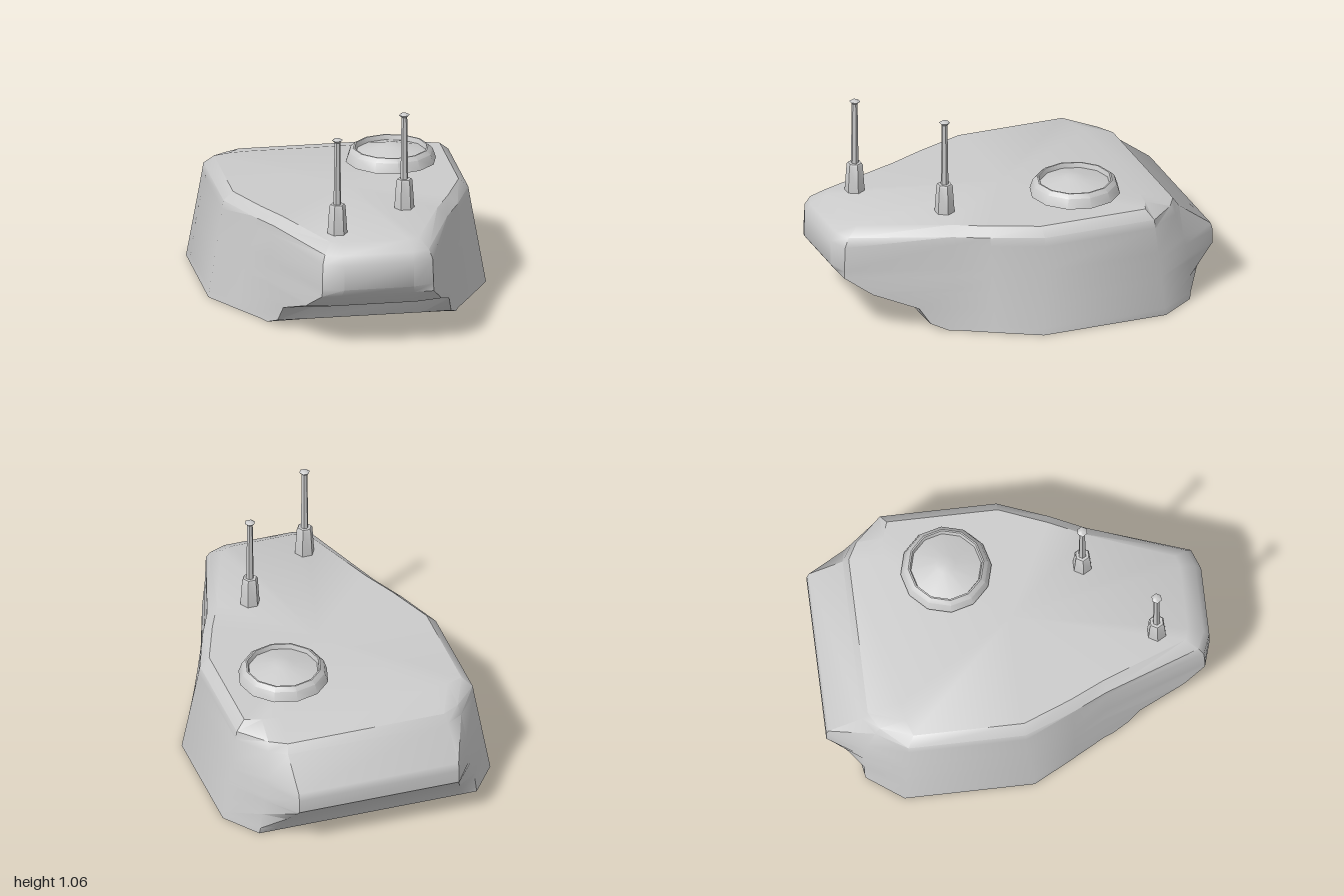
import * as THREE from 'three';
import { toCreasedNormals } from 'three/addons/utils/BufferGeometryUtils.js';

const grey = () => new THREE.MeshStandardMaterial({ color: 0xcccccc, side: THREE.DoubleSide });

function part(name, geometry, crease = 0.6) {
  const mesh = new THREE.Mesh(toCreasedNormals(geometry, crease), grey());
  mesh.name = name;
  return mesh;
}

// Side wall plan points [x, z], front to rear: at the base, the shoulder and the roof edge
const baseSide = [[0.51, 0.42], [0.6, 0.26], [0.72, 0.04], [0.72, -0.63]];
const shoulderSide = [[0.45, 0.44], [0.535, 0.26], [0.635, 0], [0.635, -0.6]];
const roofSide = [[0.4, 0.43], [0.485, 0.25], [0.585, 0], [0.585, -0.57]];

// Level: height, two nose points, two rear points, each [x, z] on the left half
const levels = [
  [0, [0.4, 0.46], [0.49, 0.47], [0.585, -0.815], [0.5, -0.815]],
  [0.035, [0.3, 0.56], [0.45, 0.555], [0.58, -0.82], [0.49, -0.835]],
  [0.12, [0.25, 0.6], [0.43, 0.61], [0.57, -0.82], [0.465, -0.9]],
  [0.2, [0.22, 0.86], [0.35, 0.83], [0.555, -0.82], [0.435, -0.98]],
  [0.22, [0.21, 0.89], [0.34, 0.86], [0.55, -0.82], [0.43, -1]],
  [0.29, [0.19, 0.97], [0.29, 0.965], [0.54, -0.81], [0.43, -1]],
  [0.33, [0.18, 1], [0.288, 0.965], [0.535, -0.8], [0.43, -0.99]],
  [0.46, [0.18, 1], [0.285, 0.96], [0.52, -0.76], [0.43, -0.815]],
  [0.505, [0.18, 0.97], [0.27, 0.935], [0.51, -0.735], [0.42, -0.785]],
  [0.55, [0.17, 0.89], [0.23, 0.87], [0.5, -0.6], [0.4, -0.61]],
];

function sidePoints(y) {
  if (y > 0.54) return roofSide;
  const t = Math.min(1, y / 0.5);
  return baseSide.map(([x, z], i) => [
    x + (shoulderSide[i][0] - x) * t,
    z + (shoulderSide[i][1] - z) * t,
  ]);
}

// Shell: mirrored plan outlines stacked by height, with flat floor and roof
function shellGeometry() {
  const rings = levels.map(([y, n1, n2, r1, r2]) => {
    const half = [n1, n2, ...sidePoints(y), r1, r2];
    const mirrored = half.map(([x, z]) => [-x, z]).reverse();
    return [...half, ...mirrored].map(([x, z]) => [x, y, z]);
  });
  const n = rings[0].length;
  const positions = rings.flat(2);
  const floor = rings.length * n;
  const roof = floor + 1;
  positions.push(0, 0, 0, 0, 0.55, 0);
  const index = [];
  const top = (rings.length - 1) * n;
  for (let i = 0; i < n; i++) {
    const j = (i + 1) % n;
    for (let k = 0; k < rings.length - 1; k++) {
      const a = k * n + i, b = k * n + j;
      index.push(a, b, b + n, a, b + n, a + n);
    }
    index.push(floor, j, i, roof, top + i, top + j);
  }
  const g = new THREE.BufferGeometry();
  g.setAttribute('position', new THREE.Float32BufferAttribute(positions, 3));
  g.setIndex(index);
  return g;
}

function lathe(points, sides) {
  return new THREE.LatheGeometry(points.map(([r, y]) => new THREE.Vector2(r, y)), sides);
}

// Antenna: tapered hexagonal socket, thin rod and small cap
function antenna(x, z) {
  const group = new THREE.Group();
  group.name = 'antenna';
  group.add(
    part('antennaSocket', lathe([[0.052, 0], [0.042, 0.145], [0.036, 0.155], [0, 0.155]], 6)),
    part('antennaRod', lathe([[0.02, 0.15], [0.015, 0.49]], 6)),
    part('antennaCap', lathe([[0, 0.485], [0.015, 0.487], [0.028, 0.5], [0.015, 0.508], [0, 0.51]], 6)),
  );
  group.position.set(x, 0.55, z);
  group.rotation.y = Math.PI / 6;
  return group;
}

export function createModel() {
  const model = new THREE.Group();
  model.name = 'turret';
  model.add(part('turretShell', shellGeometry(), 0.7));

  // Roof hatch: bevelled ring around a shallow lid
  const hatch = new THREE.Group();
  hatch.name = 'hatch';
  hatch.add(
    part('hatchRing', lathe([[0.234, 0.57], [0.217, 0.62], [0.195, 0.64], [0.187, 0.64], [0.18, 0.615]], 12)),
    part('hatchLid', lathe([[0.18, 0.615], [0.05, 0.65], [0, 0.655]], 12)),
  );
  hatch.position.set(0.285, 0, -0.3);
  model.add(hatch);

  model.add(antenna(-0.17, 0.73), antenna(0.235, 0.395));
  return model;
}
